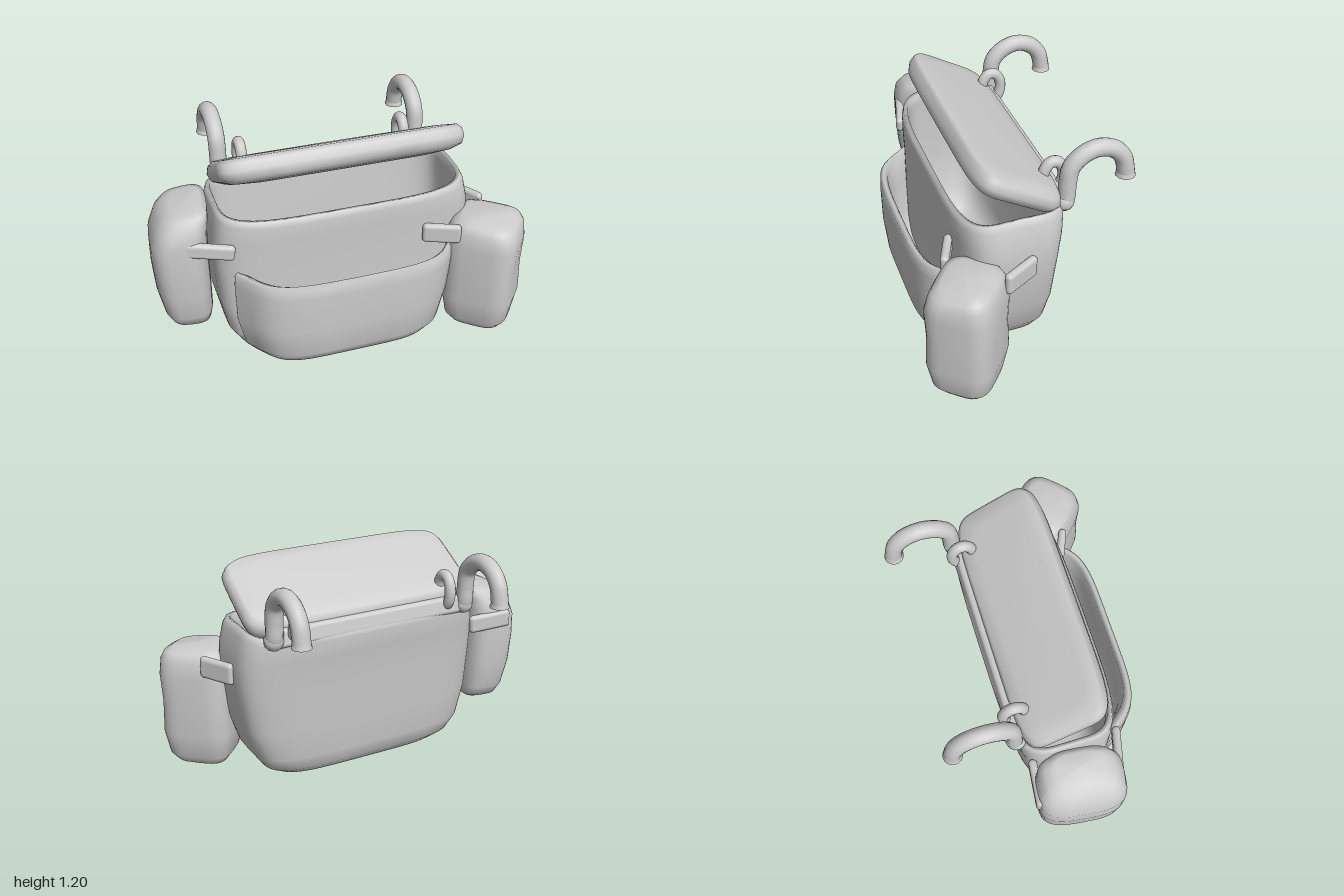
import * as THREE from 'three';
import { RoundedBoxGeometry } from 'three/addons/geometries/RoundedBoxGeometry.js';

const material = new THREE.MeshStandardMaterial({ color: 0xcccccc });

// Skins rounded-rectangle rings [y, centreX, centreZ, halfWidth, halfDepth],
// listed up the outside (and down the inside for hollow parts).
// back flattens the rear half, taper narrows the front.
function loft(rings, { power = 4, back = 1, taper = 0, sides = 48, warp = () => 0 } = {}) {
  const pos = [], index = [];
  const soft = (v) => Math.sign(v) * Math.abs(v) ** (2 / power);
  rings.forEach(([y, cx, cz, w, d], i) => {
    for (let j = 0; j < sides; j++) {
      const t = (j / sides) * Math.PI * 2;
      const s = soft(Math.sin(t));
      const x = cx + w * soft(Math.cos(t)) * (1 - taper * Math.max(0, s));
      const z = cz + d * s * (s < 0 ? back : 1);
      pos.push(x, y + warp(x, y, z), z);
      if (i === 0) continue;
      const k = (j + 1) % sides, lo = (i - 1) * sides, hi = i * sides;
      index.push(lo + j, hi + j, lo + k, lo + k, hi + j, hi + k);
    }
  });
  const geo = new THREE.BufferGeometry();
  geo.setAttribute('position', new THREE.Float32BufferAttribute(pos, 3));
  geo.setIndex(index);
  geo.computeVertexNormals();
  return geo;
}

function curveTube(points, radius, closed = false) {
  const curve = new THREE.CatmullRomCurve3(points.map((p) => new THREE.Vector3(...p)), closed);
  return new THREE.TubeGeometry(curve, 40, radius, 14, closed);
}

export function createModel() {
  const bag = new THREE.Group();
  bag.name = 'bag';
  const add = (name, geo) => {
    const mesh = new THREE.Mesh(geo, material);
    mesh.name = name;
    bag.add(mesh);
    return mesh;
  };

  // Hollow main compartment, its rim dipping towards front and back
  add('mainCompartment', loft([
    [0.02, 0, 0.1, 0, 0],
    [0.02, 0, 0.1, 0.42, 0.16],
    [0.035, 0, 0.1, 0.51, 0.22],
    [0.08, 0, 0.09, 0.58, 0.255],
    [0.16, 0, 0.08, 0.635, 0.265],
    [0.34, 0.01, 0.07, 0.685, 0.27],
    [0.6, 0.02, 0.062, 0.71, 0.275],
    [0.75, 0.02, 0.055, 0.705, 0.288],
    [0.85, 0.015, 0.05, 0.685, 0.294],
    [0.885, 0.01, 0.05, 0.67, 0.285],
    [0.88, 0.01, 0.05, 0.65, 0.265],
    [0.82, 0.01, 0.05, 0.65, 0.258],
    [0.5, 0.015, 0.06, 0.66, 0.245],
    [0.2, 0, 0.07, 0.61, 0.232],
    [0.1, 0, 0.085, 0.52, 0.19],
    [0.07, 0, 0.09, 0.42, 0.13],
    [0.07, 0, 0.09, 0, 0],
  ], { power: 4.4, sides: 64, warp: (x, y, z) => (y > 0.8 ? 0.02 - 0.4 * (z - 0.03) ** 2 : 0) }));

  // Open front pocket whose ends slant back into the body
  add('frontPocket', loft([
    [0.025, 0, 0.28, 0, 0],
    [0.025, 0, 0.28, 0.42, 0.12],
    [0.045, 0, 0.29, 0.51, 0.175],
    [0.11, 0, 0.3, 0.565, 0.205],
    [0.28, 0, 0.3, 0.605, 0.22],
    [0.48, 0.01, 0.3, 0.62, 0.222],
    [0.54, 0.01, 0.3, 0.615, 0.218],
    [0.558, 0.01, 0.3, 0.6, 0.2],
    [0.54, 0.02, 0.3, 0.57, 0.18],
    [0.4, 0.03, 0.3, 0.55, 0.175],
    [0.2, 0.03, 0.3, 0.53, 0.17],
    [0.1, 0.03, 0.3, 0.46, 0.13],
    [0.09, 0.03, 0.3, 0, 0],
  ], { power: 5, back: 0.1, taper: 0.24, sides: 64, warp: (x, y) => (y > 0.4 ? 0.06 * x * x : 0) }));

  // Thick padded lid, propped open on its rear hinge
  const lid = add('lid', loft([
    [-0.088, 0, 0.01, 0, 0],
    [-0.085, 0, 0.01, 0.46, 0.12],
    [-0.075, 0, 0.005, 0.59, 0.19],
    [-0.052, 0, 0, 0.65, 0.25],
    [-0.01, 0, -0.005, 0.668, 0.265],
    [0.03, 0, 0.005, 0.66, 0.25],
    [0.053, 0, 0.015, 0.635, 0.235],
    [0.06, 0, 0.015, 0.55, 0.17],
    [0.063, 0, 0.015, 0, 0],
  ], { power: 6.5, sides: 64 }));
  lid.position.set(0.025, 1.035, 0.035);
  lid.rotation.x = -0.506;
  const hinge = add('lidHinge', new RoundedBoxGeometry(1.16, 0.1, 0.05, 4, 0.024));
  hinge.position.set(0.02, 0.89, -0.208);
  hinge.rotation.x = 0.2;

  // Left side pouch, turned towards the front corner
  const leftPouch = add('leftPouch', loft([
    [0.005, 0, 0, 0, 0],
    [0.01, 0, 0, 0.09, 0.08],
    [0.03, 0, 0, 0.14, 0.125],
    [0.08, 0, 0, 0.177, 0.16],
    [0.22, 0, 0, 0.2, 0.185],
    [0.4, 0, 0, 0.193, 0.178],
    [0.56, 0, 0, 0.2, 0.185],
    [0.65, 0, 0, 0.19, 0.168],
    [0.69, 0, 0, 0.168, 0.148],
    [0.71, 0, 0, 0.125, 0.11],
    [0.712, 0, 0, 0, 0],
  ], { power: 3.6, sides: 32, warp: (x, y, z) => (y > 0.62 ? -0.12 * Math.max(0, x + z - 0.08) : 0) }));
  leftPouch.position.set(0.776, 0, 0.362);
  leftPouch.rotation.y = -0.71;

  // Right side pouch, hung higher and slightly turned
  const rightPouch = add('rightPouch', loft([
    [0.212, 0.03, 0, 0, 0],
    [0.215, 0.03, 0, 0.07, 0.12],
    [0.24, 0.02, 0, 0.11, 0.17],
    [0.3, 0.01, 0, 0.13, 0.2],
    [0.45, -0.005, 0, 0.145, 0.225],
    [0.62, -0.012, 0, 0.15, 0.232],
    [0.75, -0.01, 0, 0.15, 0.232],
    [0.83, 0.01, 0, 0.138, 0.22],
    [0.88, 0.03, 0, 0.118, 0.18],
    [0.895, 0.04, 0, 0.08, 0.13],
    [0.9, 0.05, 0, 0, 0],
  ], { power: 3.2, sides: 32, warp: (x, y) => (y > 0.7 ? 0.14 * (x + 0.03) : 0) }));
  rightPouch.position.set(-0.83, 0, 0.045);
  rightPouch.rotation.y = -0.12;

  // Padded straps tying the pouches to the body
  const straps = [
    ['leftFrontStrap', [0.41, 0.645, 0.34], [0.6, 0.645, 0.42], 0.11],
    ['leftRearStrap', [0.725, 0.65, -0.01], [0.83, 0.65, 0.18], 0.12],
    ['rightFrontStrap', [-0.94, 0.755, 0.225], [-0.6, 0.715, 0.315], 0.085],
    ['rightRearStrap', [-0.89, 0.735, -0.185], [-0.64, 0.72, -0.155], 0.1],
  ];
  for (const [name, a, b, width] of straps) {
    const from = new THREE.Vector3(...a), to = new THREE.Vector3(...b);
    const strap = add(name, new RoundedBoxGeometry(from.distanceTo(to), width, 0.045, 4, 0.022));
    strap.position.copy(from).lerp(to, 0.5);
    strap.quaternion.setFromUnitVectors(new THREE.Vector3(1, 0, 0), to.sub(from).normalize());
  }

  // Rear hanging hooks with slightly flared tips, and oval lid rings
  const hookPath = [[0.86, -0.205], [0.91, -0.222], [0.99, -0.225], [1.08, -0.24], [1.14, -0.3],
    [1.163, -0.38], [1.14, -0.46], [1.08, -0.515], [0.98, -0.54]];
  for (const [side, hookX, ringX] of [['left', 0.58, 0.48], ['right', -0.55, -0.44]]) {
    add(side + 'Hook', curveTube(hookPath.map(([y, z]) => [hookX, y, z]), 0.046));
    const base = add(side + 'HookBase', new THREE.SphereGeometry(0.052, 14, 10));
    base.position.set(hookX, 0.885, -0.212);
    const tip = add(side + 'HookTip', new THREE.CylinderGeometry(0.044, 0.052, 0.03, 14));
    tip.position.set(hookX, 0.985, -0.537);
    const oval = Array.from({ length: 10 }, (_, i) => {
      const t = (i / 10) * Math.PI * 2;
      return [ringX, 0.975 + 0.085 * Math.sin(t), -0.19 + 0.055 * Math.cos(t)];
    });
    add(side + 'Ring', curveTube(oval, 0.03, true));
  }

  return bag;
}
